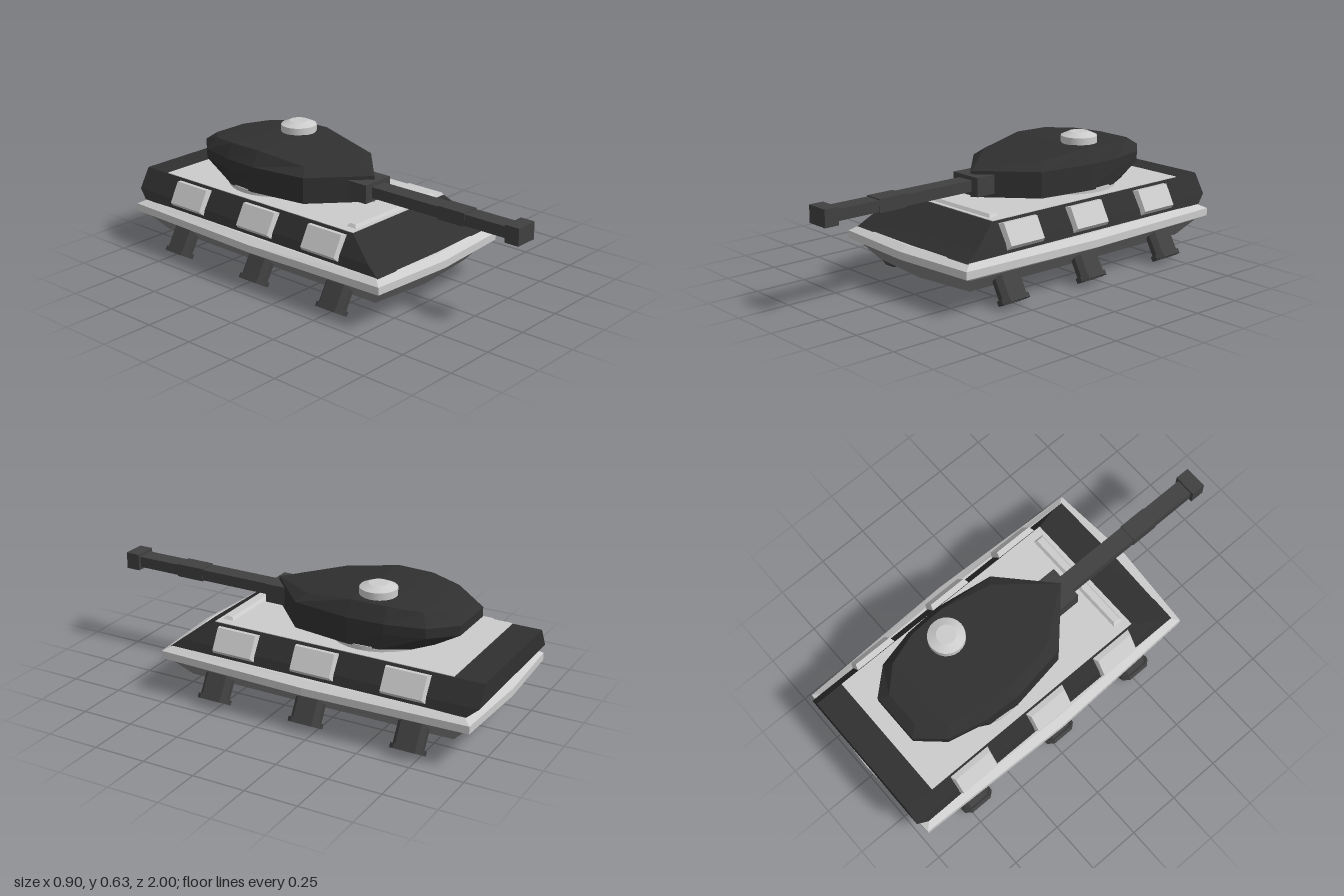
import * as THREE from 'three';

const mat = (color) => new THREE.MeshStandardMaterial({ color, flatShading: true });

// Mirrors a half outline of [x, y, z] points (front centre to back centre) into a full ring
function ring(half) {
  const other = half.slice(1, -1).reverse().map(([x, y, z]) => [-x, y, z]);
  return [...half, ...other];
}

// Level half outline at one height
const level = (y, pts) => ring(pts.map(([x, z]) => [x, y, z]));

// Skins a stack of rings (bottom to top) and closes both ends with strips
function loft(rings) {
  const pos = [];
  const tri = (...p) => p.forEach((v) => pos.push(...v));
  const quad = (a, b, c, d) => { tri(a, b, c); tri(a, c, d); };
  const n = rings[0].length;
  for (let k = 0; k < rings.length - 1; k++) {
    const a = rings[k], b = rings[k + 1];
    for (let i = 0; i < n; i++) {
      const j = (i + 1) % n;
      quad(a[i], a[j], b[j], b[i]);
    }
  }
  const top = rings[rings.length - 1], bot = rings[0];
  for (let i = 0; i < n / 2; i++) {
    const idx = [i, i + 1, n - i - 1, (n - i) % n];
    quad(...idx.map((q) => top[q]));
    quad(...idx.reverse().map((q) => bot[q]));
  }
  const g = new THREE.BufferGeometry();
  g.setAttribute('position', new THREE.Float32BufferAttribute(pos, 3));
  g.computeVertexNormals();
  return g;
}

// Box whose top face is inset on all four sides
function bevelBox(w, h, d, inset) {
  const g = new THREE.BoxGeometry(w, h, d);
  const p = g.attributes.position;
  for (let i = 0; i < p.count; i++) {
    if (p.getY(i) > 0) {
      p.setX(i, p.getX(i) - Math.sign(p.getX(i)) * inset);
      p.setZ(i, p.getZ(i) - Math.sign(p.getZ(i)) * inset);
    }
  }
  g.computeVertexNormals();
  return g;
}

// Chamfered rectangle outline
function chamfered(Type, w, d, c) {
  const x = w / 2, y = d / 2;
  return new Type([[x, y - c], [x - c, y], [c - x, y], [-x, y - c], [-x, c - y], [c - x, -y], [x - c, -y], [x, c - y]]
    .map(([a, b]) => new THREE.Vector2(a, b)));
}

// Hollow chamfered duct running down from y = 0
function duct(w, d, c, len, wall) {
  const s = chamfered(THREE.Shape, w, d, c);
  if (wall) s.holes.push(chamfered(THREE.Path, w - 2 * wall, d - 2 * wall, c * 0.8));
  return new THREE.ExtrudeGeometry(s, { depth: len, bevelEnabled: false }).rotateX(Math.PI / 2);
}

export function createModel() {
  const model = new THREE.Group();
  const light = mat(0xcccccc), dark = mat(0x303030), under = mat(0x808080), metal = mat(0x404040);
  const smooth = new THREE.MeshStandardMaterial({ color: 0xcccccc });
  const add = (name, geo, material, x = 0, y = 0, z = 0, parent = model) => {
    const m = new THREE.Mesh(geo, material);
    m.name = name;
    m.position.set(x, y, z);
    parent.add(m);
    return m;
  };

  // Lower hull and the belt around it
  const lip = [[0, 0.54], [0.39, 0.51], [0.405, -0.2], [0.385, -0.94], [0, -0.955]];
  const edge = [[0, 0.58], [0.42, 0.55], [0.445, -0.2], [0.42, -0.98], [0, -1]];
  add('lowerHull', loft([
    ring([[0, 0.075, 0.47], [0.32, 0.085, 0.45], [0.325, 0.085, -0.2], [0.32, 0.085, -0.87], [0, 0.075, -0.88]]),
    level(0.165, lip),
  ]), under);
  add('hullBelt', loft([level(0.163, lip), level(0.182, edge), level(0.218, edge), level(0.24, lip)]), light);

  // Upper hull with sloped sides, deck plate and front bar
  add('upperHull', loft([
    level(0.238, [[0, 0.53], [0.39, 0.52], [0.39, -0.95], [0, -0.95]]),
    level(0.28, [[0, 0.46], [0.375, 0.455], [0.375, -1], [0, -1]]),
    level(0.374, [[0, 0.32], [0.32, 0.32], [0.32, -1], [0, -1]]),
  ]), dark);
  add('deckPlate', new THREE.BoxGeometry(0.64, 0.006, 1.18), light, 0, 0.374, -0.27);
  add('frontBar', bevelBox(0.56, 0.016, 0.055, 0.012), light, 0, 0.383, 0.275);

  // Side armour blocks and thruster legs
  const block = bevelBox(0.14, 0.05, 0.23, 0.017);
  const shaft = duct(0.07, 0.14, 0.022, 0.205, 0.01);
  const collar = duct(0.088, 0.16, 0.028, 0.022, 0.019);
  const plug = duct(0.052, 0.122, 0.016, 0.16, 0);
  for (const side of [1, -1]) {
    for (const z of [0.185, -0.215, -0.655]) {
      const b = add('sideArmour', block, light, side * 0.357, 0.308, z);
      b.rotation.z = -side * 1.08;
    }
    for (const z of [0.275, -0.2, -0.7]) {
      const leg = new THREE.Group();
      leg.name = 'thrusterLeg';
      leg.position.set(side * 0.303, 0.217, z);
      leg.rotation.z = side * Math.PI / 6;
      add('legShaft', shaft, metal, 0, 0, 0, leg);
      add('legCollar', collar, metal, 0, -0.2, 0, leg);
      add('legCore', plug, dark, 0, 0, 0, leg);
      model.add(leg);
    }
  }

  // Turret ring and faceted turret
  const base = add('turretRing', new THREE.CylinderGeometry(0.255, 0.255, 0.03, 32), smooth, 0, 0.384, -0.385);
  base.scale.x = 1.09;
  const wide = [[0, 0.17], [0.235, -0.05], [0.277, -0.33], [0.268, -0.5], [0.225, -0.68], [0.12, -0.795], [0, -0.795]];
  add('turret', loft([
    level(0.393, [[0, 0.17], [0.235, -0.05], [0.277, -0.33], [0.265, -0.48], [0.2, -0.6], [0.1, -0.67], [0, -0.67]]),
    level(0.47, wide),
    level(0.515, wide),
    ring([[0, 0.518, 0.16], [0.19, 0.55, -0.08], [0.235, 0.585, -0.33], [0.23, 0.583, -0.5],
      [0.185, 0.568, -0.65], [0.09, 0.55, -0.75], [0, 0.55, -0.75]]),
  ]), dark);

  // Cupola hatch with a shallow lid
  add('cupola', new THREE.CylinderGeometry(0.085, 0.085, 0.05, 24), smooth, 0.115, 0.592, -0.4);
  add('cupolaLid', new THREE.CylinderGeometry(0.045, 0.085, 0.018, 24), smooth, 0.115, 0.626, -0.4);

  // Gun: mantlet, square barrel with sleeve, and muzzle
  const box = (name, w, h, z0, z1, y = 0.455) =>
    add(name, new THREE.BoxGeometry(w, h, z1 - z0), metal, -0.005, y, (z0 + z1) / 2);
  box('mantlet', 0.168, 0.088, 0.05, 0.195);
  box('barrel', 0.085, 0.052, 0.15, 0.94);
  box('barrelSleeve', 0.09, 0.062, 0.57, 0.71);
  box('muzzle', 0.112, 0.08, 0.93, 1);
  return model;
}
